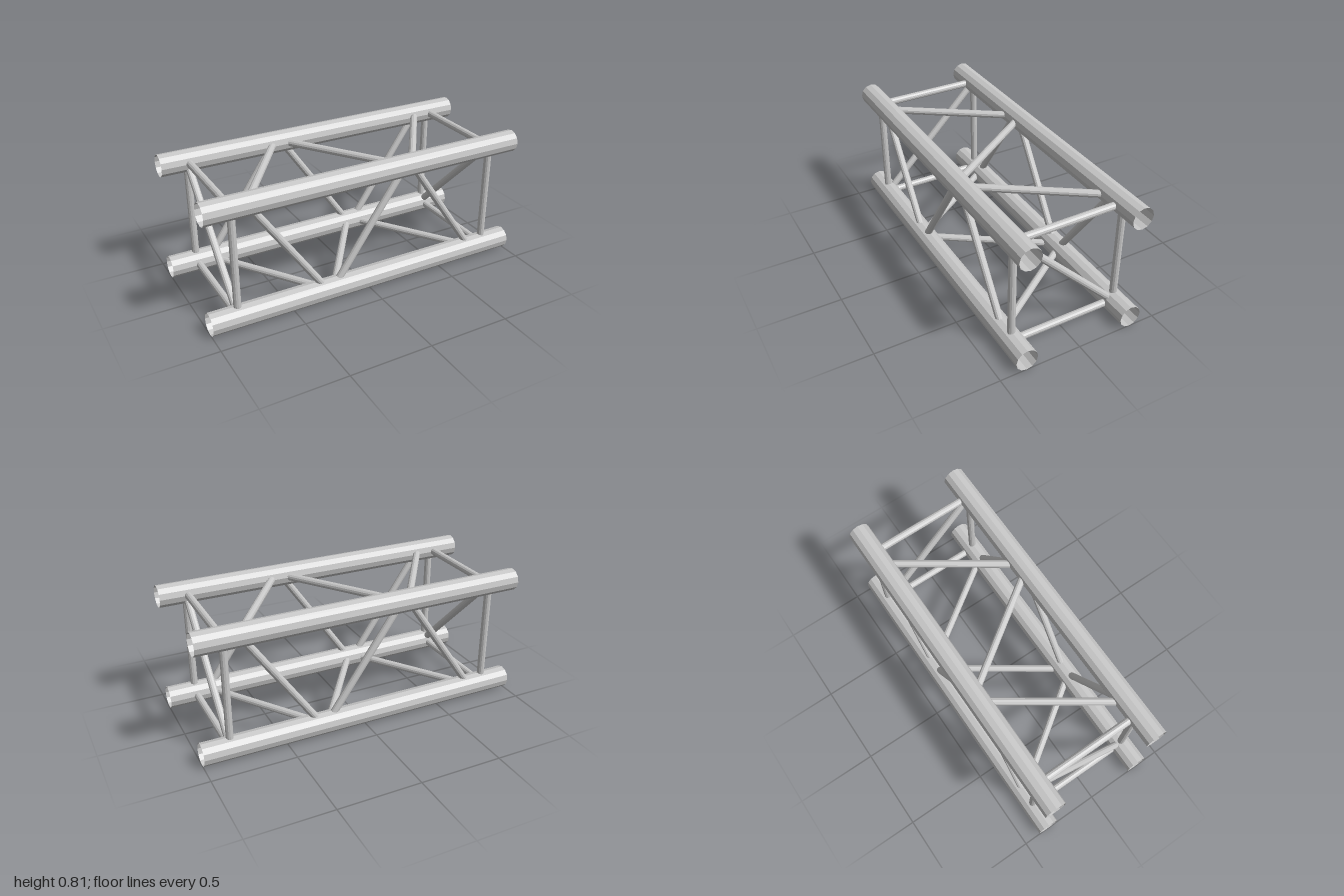
import * as THREE from 'three';

export function createModel() {
  const group = new THREE.Group();
  const metal = new THREE.MeshStandardMaterial({
    color: 0xc8c8c8, flatShading: true, side: THREE.DoubleSide,
  });
  metal.name = 'aluminium grey';

  const chordR = 0.0667, strutR = 0.0222;
  const lo = 0.0667, hi = 0.74, depth = 0.337; // chord centre lines
  const up = new THREE.Vector3(0, 1, 0);

  // Open twelve-sided tube between two points
  function tube(name, a, b, radius) {
    const start = new THREE.Vector3(...a), end = new THREE.Vector3(...b);
    const dir = end.clone().sub(start);
    const mesh = new THREE.Mesh(
      new THREE.CylinderGeometry(radius, radius, dir.length(), 12, 1, true), metal);
    mesh.position.copy(start).add(end).multiplyScalar(0.5);
    mesh.quaternion.setFromUnitVectors(up, dir.normalize());
    mesh.name = name;
    group.add(mesh);
  }

  // Four main chords
  for (const y of [lo, hi])
    for (const z of [-depth, depth])
      tube('mainChord', [-1, y, z], [1, y, z], chordR);

  // Square end frames, each with one diagonal; the two ends cross
  for (const s of [-1, 1]) {
    const x = 0.832 * s;
    for (const z of [-depth, depth]) tube('endPost', [x, lo, z], [x, hi, z], strutR);
    for (const y of [lo, hi]) tube('endCrossbar', [x, y, -depth], [x, y, depth], strutR);
    tube('endDiagonal', [x, hi, s * depth], [x, lo, -s * depth], strutR);
  }

  // Zigzag bracing: opposite faces alternate in opposite directions
  [-0.51, 0, 0.51].forEach((cx, i) => {
    const s = i % 2 ? -1 : 1;
    const x0 = cx - 0.233, x1 = cx + 0.233;
    for (const f of [-1, 1]) {
      const a = s * f > 0 ? hi : lo, b = s * f > 0 ? lo : hi;
      tube(f > 0 ? 'frontBrace' : 'backBrace', [x0, a, f * depth], [x1, b, f * depth], strutR);
      const y = f > 0 ? hi : lo, z = s * f * depth;
      tube(f > 0 ? 'topBrace' : 'bottomBrace', [x0, y, z], [x1, y, -z], strutR);
    }
  });

  return group;
}
